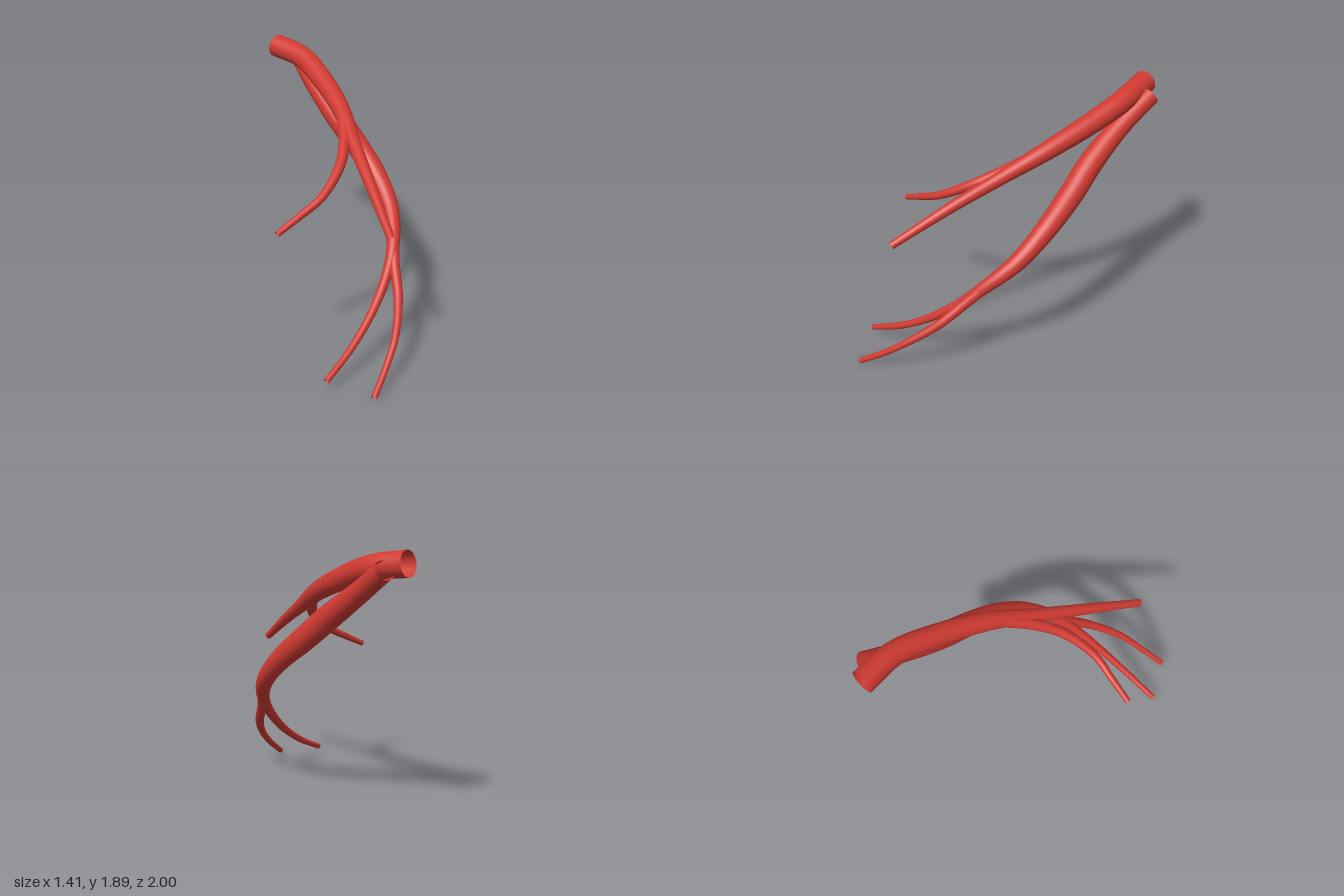
import * as THREE from 'three';

const SIDES = 28;
const STEPS = 72;

// Open tube through rows of [x, y, z, radius], with the radius eased along the path
function taperedTube(name, rows, material) {
  const path = new THREE.CatmullRomCurve3(rows.map(([x, y, z]) => new THREE.Vector3(x, y, z)));
  const radii = new THREE.SplineCurve(rows.map((row) => new THREE.Vector2(row[3], 0)));
  const geometry = new THREE.TubeGeometry(path, STEPS, 1, SIDES, false);
  const position = geometry.attributes.position;
  const normal = geometry.attributes.normal;
  const offset = new THREE.Vector3();
  for (let i = 0; i <= STEPS; i++) {
    const centre = path.getPointAt(i / STEPS);
    const radius = radii.getPoint(path.getUtoTmapping(i / STEPS)).x;
    for (let j = 0; j <= SIDES; j++) {
      const k = i * (SIDES + 1) + j;
      offset.fromBufferAttribute(normal, k).multiplyScalar(radius).add(centre);
      position.setXYZ(k, offset.x, offset.y, offset.z);
    }
  }
  const mesh = new THREE.Mesh(geometry, material);
  mesh.name = name;
  return mesh;
}

export function createModel() {
  const red = new THREE.MeshStandardMaterial({ color: 0xd03a32, side: THREE.DoubleSide });
  red.name = 'vessel red';

  const model = new THREE.Group();
  model.name = 'branchingVessels';

  // Upper vessel, running from the wide open end to a narrow tip
  const upperVessel = taperedTube('upperVessel', [
    [-0.67, 1.805, -0.9, 0.086],
    [-0.42, 1.765, -0.77, 0.082],
    [-0.2, 1.67, -0.56, 0.077],
    [0.02, 1.55, -0.29, 0.066],
    [0.2, 1.41, 0, 0.05],
    [0.4, 1.255, 0.32, 0.039],
    [0.63, 1.06, 0.68, 0.027],
  ], red);

  // Side branch curling out of the upper vessel
  const upperBranch = taperedTube('upperBranch', [
    [0.0, 1.565, -0.33, 0.05],
    [0.075, 1.5, -0.17, 0.045],
    [0.135, 1.41, 0.02, 0.04],
    [0.16, 1.31, 0.22, 0.036],
    [0.105, 1.175, 0.46, 0.029],
    [0, 1.09, 0.61, 0.025],
    [-0.11, 1.01, 0.76, 0.021],
  ], red);

  // Lower vessel, swelling in its middle and running on to the inner tip
  const lowerVessel = taperedTube('lowerVessel', [
    [-0.53, 1.765, -0.95, 0.068],
    [-0.34, 1.6, -0.76, 0.074],
    [-0.115, 1.415, -0.585, 0.086],
    [0.085, 1.24, -0.46, 0.085],
    [0.285, 1.065, -0.315, 0.075],
    [0.435, 0.89, -0.15, 0.063],
    [0.515, 0.715, 0.06, 0.048],
    [0.52, 0.565, 0.23, 0.037],
    [0.475, 0.37, 0.47, 0.03],
    [0.39, 0.2, 0.73, 0.025],
    [0.29, 0.08, 0.97, 0.021],
  ], red);

  // Outer branch of the lower vessel
  const lowerBranch = taperedTube('lowerBranch', [
    [0.51, 0.74, 0.03, 0.04],
    [0.555, 0.605, 0.18, 0.038],
    [0.63, 0.44, 0.37, 0.033],
    [0.668, 0.27, 0.61, 0.026],
    [0.65, 0.135, 0.8, 0.023],
    [0.62, 0.022, 0.98, 0.021],
  ], red);

  model.add(upperVessel, upperBranch, lowerVessel, lowerBranch);
  return model;
}
